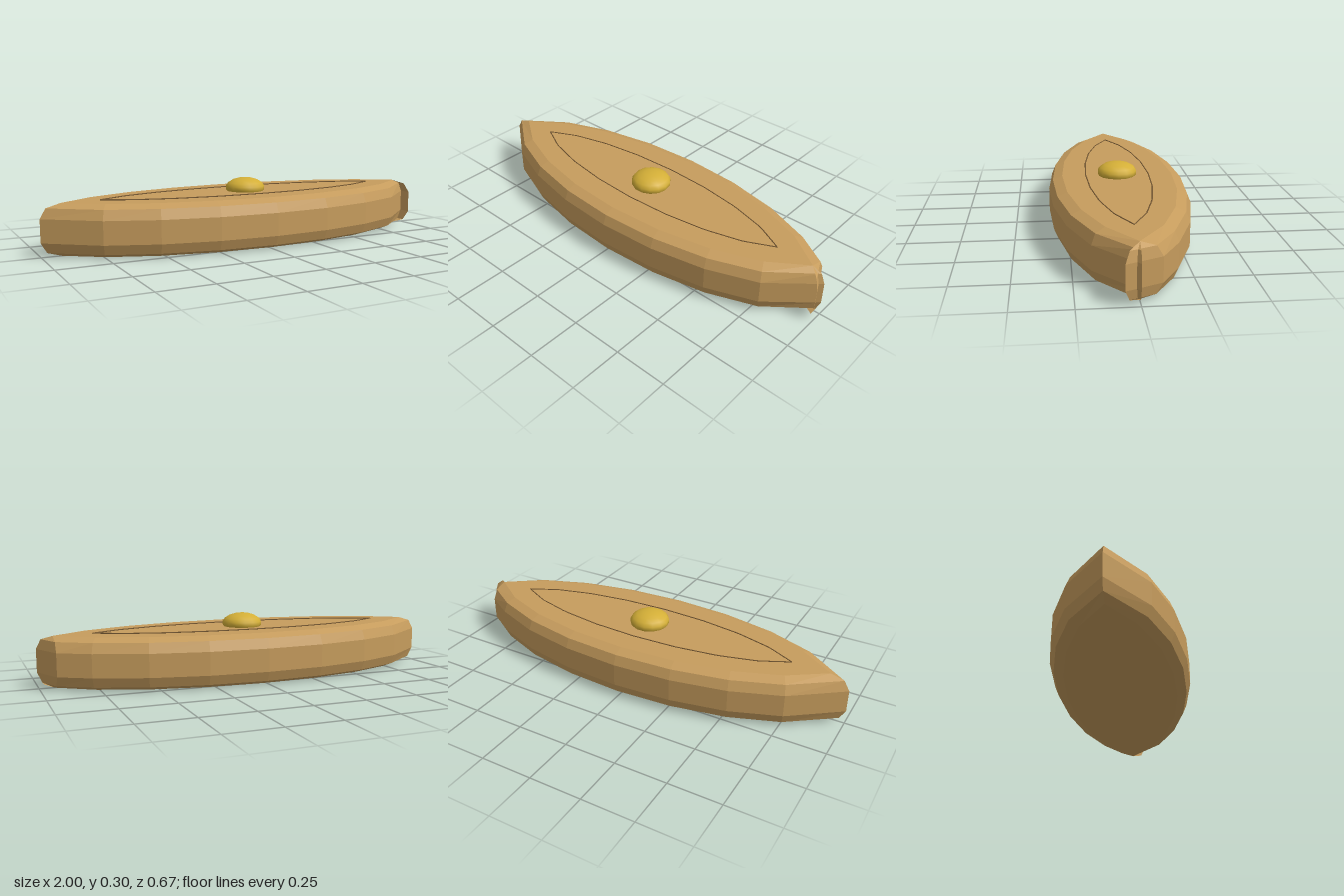
import * as THREE from 'three';

const CX = 0.012; // middle of the lens, slightly off centre because of the seam at one tip
const BEVEL = 0.065;

// Point on the upper half of a pointed lens, s from -1 (left tip) to 1 (right tip)
function lensPoint(s, halfLength, halfWidth) {
  const x = halfLength * (s * (3 + s * s) + 1.8 * s * (1 - s * s)) / 4;
  return new THREE.Vector2(x + CX, -halfWidth * (1 - s * s));
}

// Lens outline: base points with the outward bevel direction of each
function bodyOutline() {
  const half = [];
  for (let i = 0; i <= 8; i++) half.push(lensPoint(i / 4 - 1, 0.92, 0.27));
  const back = [];
  for (let i = 1; i < 8; i++) {
    const t = half[i + 1].clone().sub(half[i - 1]).normalize();
    back.push({ p: half[i], o: new THREE.Vector2(t.y, -t.x).multiplyScalar(BEVEL) });
  }
  const front = back.map(({ p, o }) => ({
    p: new THREE.Vector2(p.x, -p.y), o: new THREE.Vector2(o.x, -o.y),
  })).reverse();
  // Folded seam at the right tip
  const seam = [[0, -0.092], [0.068, 0.062], [0.066, 0]]
    .map(([x, z]) => ({ p: half[8], o: new THREE.Vector2(x, z) }));
  const leftTip = { p: half[0], o: new THREE.Vector2(-0.092, 0) };
  return [leftTip, ...back, ...seam, ...front];
}

// Bevelled slab lofted from the outline, with faceted faces
function bodyGeometry() {
  const outline = bodyOutline();
  const n = outline.length;
  const levels = [[0, 0], [0.019, 0.707], [0.065, 1], [0.173, 1], [0.219, 0.707], [0.238, 0]];
  const rings = levels.map(([y, f]) => outline.map(({ p, o }) =>
    new THREE.Vector3(p.x + o.x * f, y, p.y + o.y * f)));
  const pos = [];
  const tri = (a, b, c) => {
    if (new THREE.Triangle(a, b, c).getArea() < 1e-9) return;
    for (const v of [a, b, c]) pos.push(v.x, v.y, v.z);
  };
  const bottom = new THREE.Vector3(CX, 0, 0);
  const top = new THREE.Vector3(CX, 0.238, 0);
  for (let i = 0; i < n; i++) {
    const j = (i + 1) % n;
    for (let k = 0; k < rings.length - 1; k++) {
      const lo = rings[k], hi = rings[k + 1];
      tri(lo[j], lo[i], hi[i]);
      tri(lo[j], hi[i], hi[j]);
    }
    tri(bottom, rings[0][i], rings[0][j]);
    tri(top, rings[5][j], rings[5][i]);
  }
  const g = new THREE.BufferGeometry();
  g.setAttribute('position', new THREE.Float32BufferAttribute(pos, 3));
  g.computeVertexNormals();
  return g;
}

// Fine lens-shaped line lying on the top face
function lineGeometry() {
  const path = new THREE.CurvePath();
  const pts = [];
  for (let i = 0; i <= 8; i++) pts.push(lensPoint(i / 4 - 1, 0.74, 0.155));
  for (let i = 7; i >= 0; i--) pts.push(new THREE.Vector2(pts[i].x, -pts[i].y));
  const v = pts.map((p) => new THREE.Vector3(p.x, 0.24, p.y));
  for (let i = 0; i < v.length - 1; i++) path.add(new THREE.LineCurve3(v[i], v[i + 1]));
  return new THREE.TubeGeometry(path, 96, 0.003, 4, false);
}

export function createModel() {
  const wood = new THREE.MeshStandardMaterial({ color: 0xc69c5d });
  wood.name = 'tan wood';
  const dark = new THREE.MeshStandardMaterial({ color: 0x7a5c35 });
  dark.name = 'dark brown';
  const gold = new THREE.MeshStandardMaterial({ color: 0xd4af37 });
  gold.name = 'gold';

  const group = new THREE.Group();
  group.name = 'model';
  const add = (name, geometry, material) => {
    const m = new THREE.Mesh(geometry, material);
    m.name = name;
    group.add(m);
    return m;
  };

  add('body', bodyGeometry(), wood);
  add('inlayLine', lineGeometry(), dark);

  // Flattened round stud
  const stud = add('stud', new THREE.SphereGeometry(0.097, 14, 9), gold);
  stud.scale.y = 0.52;
  stud.position.set(CX, 0.253, 0);
  return group;
}
